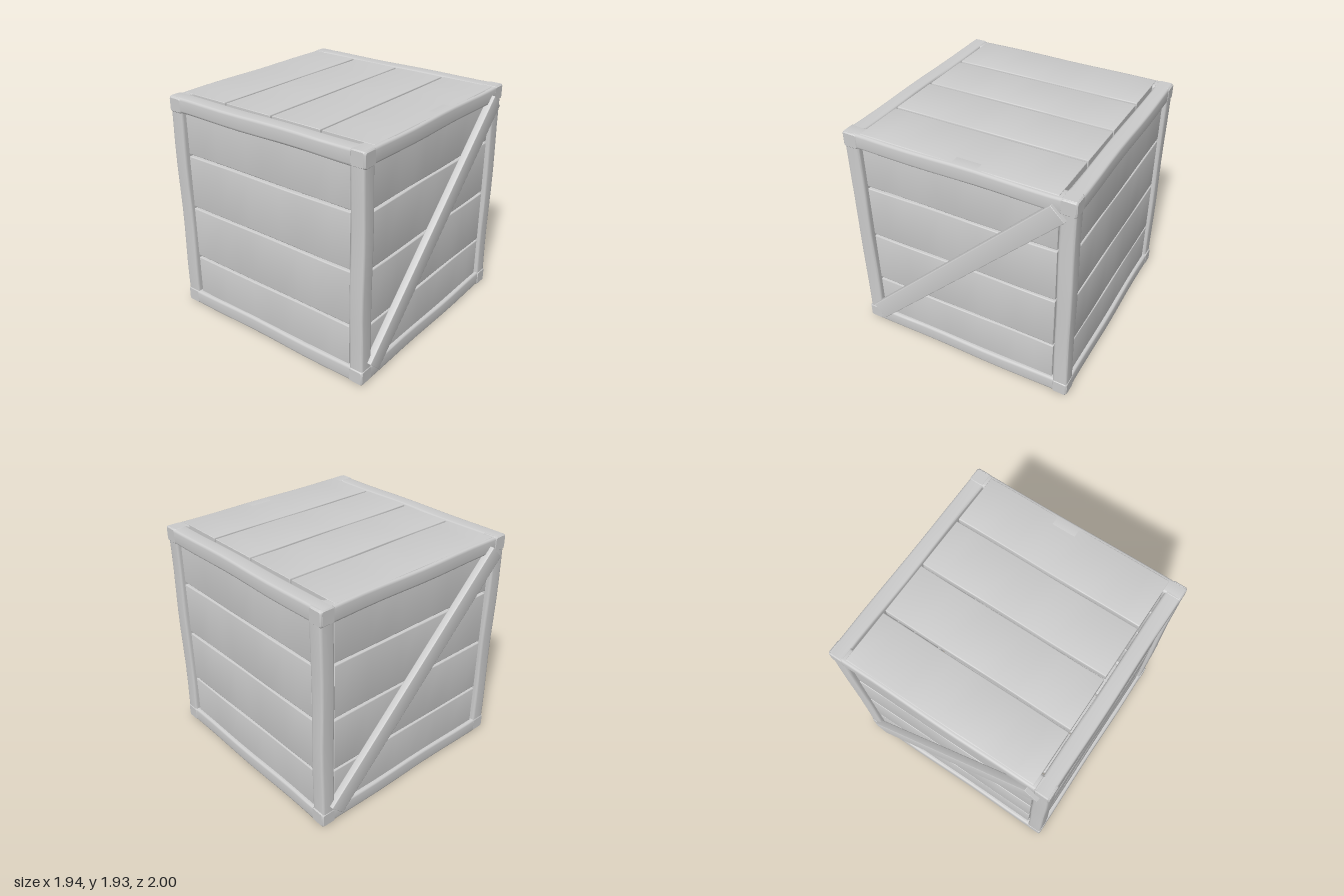
import * as THREE from 'three';
import { toCreasedNormals } from 'three/addons/utils/BufferGeometryUtils.js';

const wood = new THREE.MeshStandardMaterial({ color: 0xcccccc });
wood.name = 'plain wood';

const MID = 0.965; // half height of the crate

// Bevelled timber along x, its height on y and its depth on z, worn a little thinner in places
function timber(length, height, depth, bevel, wear, seed) {
  const w = depth / 2, h = height / 2, r = bevel;
  const s = new THREE.Shape();
  s.moveTo(-w + r, -h);
  s.lineTo(w - r, -h);
  s.quadraticCurveTo(w, -h, w, -h + r);
  s.lineTo(w, h - r);
  s.quadraticCurveTo(w, h, w - r, h);
  s.lineTo(-w + r, h);
  s.quadraticCurveTo(-w, h, -w, h - r);
  s.lineTo(-w, -h + r);
  s.quadraticCurveTo(-w, -h, -w + r, -h);
  const b = bevel * 0.4;
  const geo = new THREE.ExtrudeGeometry(s, {
    depth: length - 2 * b, steps: 10, curveSegments: 3,
    bevelEnabled: true, bevelSegments: 1, bevelSize: b, bevelThickness: b, bevelOffset: -b,
  });
  geo.translate(0, 0, b - length / 2);
  const p = geo.attributes.position;
  for (let i = 0; i < p.count; i++) {
    const x = p.getX(i), y = p.getY(i), t = p.getZ(i) * 5 + seed * 1.7;
    const dx = wear * (0.5 + 0.5 * Math.sin(t + Math.sign(x)));
    const dy = wear * (0.5 + 0.5 * Math.sin(t * 1.2 + 2 * Math.sign(y)));
    p.setXY(i, x * (1 - dx / w), y * (1 - dy / h));
  }
  geo.rotateY(Math.PI / 2);
  return toCreasedNormals(geo, 0.7);
}

function add(parent, name, geo, x, y, z) {
  const mesh = new THREE.Mesh(geo, wood);
  mesh.name = name;
  mesh.position.set(x, y, z);
  parent.add(mesh);
  return mesh;
}

// Four boards facing +z at the given distance from the centre
function panel(name, distance, seed) {
  const g = new THREE.Group();
  g.name = name;
  for (let i = 0; i < 4; i++) {
    add(g, 'board', timber(1.65, 0.46, 0.07, 0.008, 0.003, seed + i), 0, (i - 1.5) * 0.477, distance - 0.035);
  }
  return g;
}

export function createModel() {
  const crate = new THREE.Group();
  crate.name = 'crate';
  const body = new THREE.Group();
  body.name = 'body';
  body.position.y = MID;
  crate.add(body);

  // Four walls, each with its rails and, at front and back, a diagonal brace
  ['front', 'right', 'back', 'left'].forEach((side, k) => {
    const wall = panel(side + 'Panel', 0.94, k * 4);
    wall.rotation.y = k * Math.PI / 2;
    body.add(wall);
    for (const s of [-1, 1]) {
      add(wall, s > 0 ? 'topRail' : 'bottomRail', timber(1.944, 0.132, 0.132, 0.022, 0.006, k + s), 0, s * 0.897, 0.906);
    }
    if (k % 2 === 0) {
      const brace = add(wall, 'diagonalBrace', timber(2.385, 0.155, 0.06, 0.006, 0, 0), 0, 0.005, 0.97);
      brace.rotation.z = Math.PI / 4;
    }
  });

  // Lid and floor, flush with the rails
  const lid = panel('lid', MID, 20);
  lid.rotation.x = -Math.PI / 2;
  const floor = panel('floor', MID, 30);
  floor.rotation.x = Math.PI / 2;
  body.add(lid, floor);

  // Corner posts
  for (const x of [-1, 1]) {
    for (const z of [-1, 1]) {
      const post = add(body, 'cornerPost', timber(1.924, 0.13, 0.13, 0.022, 0.006, x * 2 + z), x * 0.904, 0, z * 0.904);
      post.rotation.z = Math.PI / 2;
    }
  }
  return crate;
}
